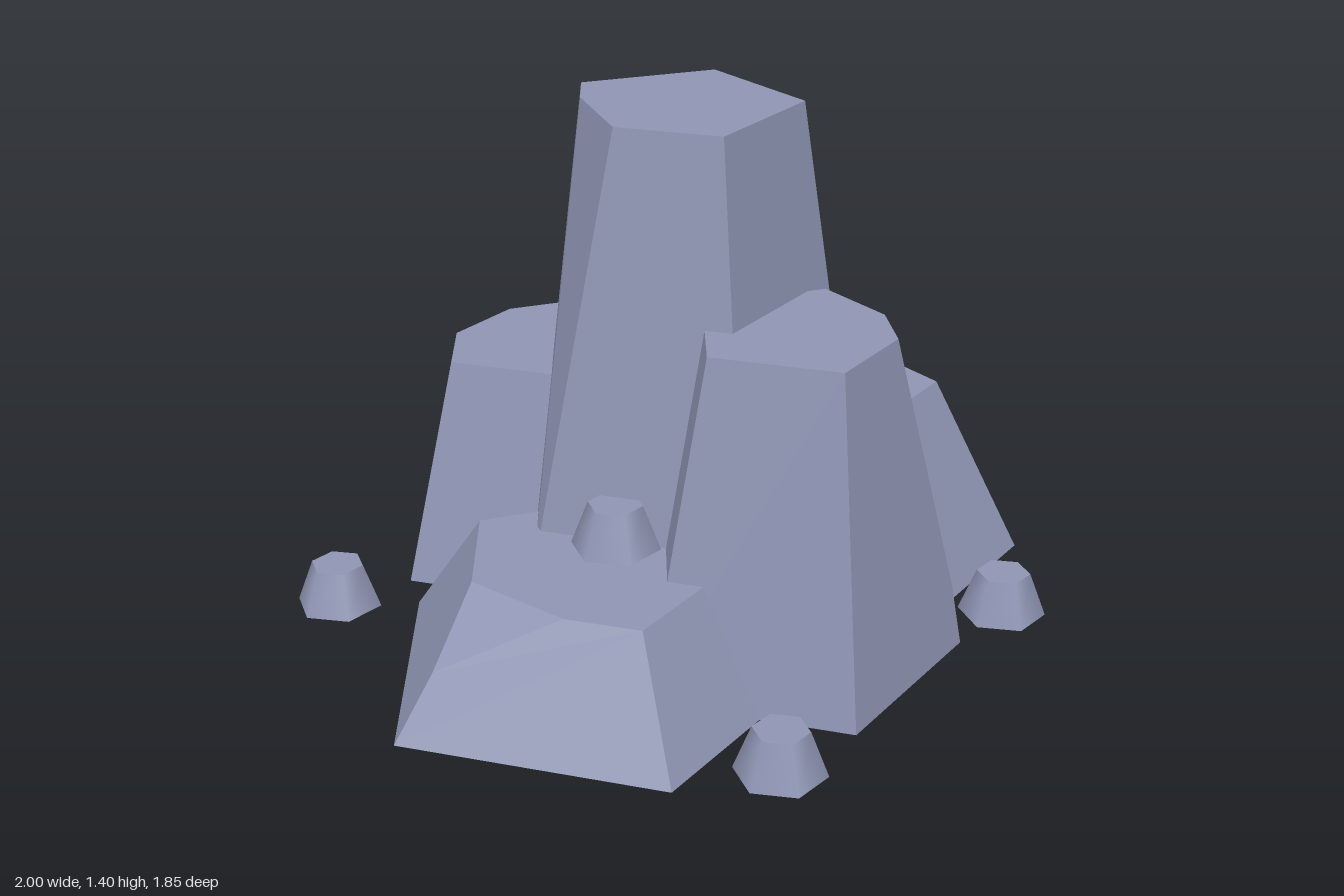
import * as THREE from 'three';
import { ConvexGeometry } from 'three/addons/geometries/ConvexGeometry.js';

const stone = new THREE.MeshStandardMaterial({ color: 0x8f95b4 });
stone.name = 'stone';

// Corner k of a pentagon: 0 front, 1 right (+x), 2 and 3 back, 4 left (-x)
function corner([cx, cz, r], k, y) {
  const a = (k * Math.PI * 2) / 5;
  return new THREE.Vector3(cx + r * Math.sin(a), y, cz + r * Math.cos(a));
}

// Tapered five-sided rock with one top corner chipped off.
// base, top: [x, z, radius]; chip: corner, start up the edge, cut toward the previous and next corners
function rock(name, base, top, height, chip) {
  const points = [];
  for (let k = 0; k < 5; k++) {
    const low = corner(base, k, 0);
    const high = corner(top, k, height);
    points.push(low);
    if (k !== chip.k) {
      points.push(high);
      continue;
    }
    points.push(
      low.clone().lerp(high, chip.up),
      high.clone().lerp(corner(top, k - 1, height), chip.prev),
      high.clone().lerp(corner(top, k + 1, height), chip.next)
    );
  }
  const mesh = new THREE.Mesh(new ConvexGeometry(points), stone);
  mesh.name = name;
  return mesh;
}

export function createModel() {
  const model = new THREE.Group();
  model.name = 'rockCluster';

  // Large rocks
  model.add(
    rock('tallRock', [0.01, -0.13, 0.52], [0.01, -0.125, 0.315], 1.4,
      { k: 4, up: 0.14, prev: 0.63, next: 0.24 }),
    rock('frontRock', [0.17, 0.257, 0.463], [0.175, 0.286, 0.289], 0.915,
      { k: 1, up: 0.19, prev: 0.25, next: 0.33 }),
    rock('lowRock', [-0.34, 0.195, 0.605], [-0.342, 0.22, 0.379], 0.33,
      { k: 4, up: 0.52, prev: 0.26, next: 0.55 }),
    rock('backRock', [-0.258, -0.562, 0.455], [-0.261, -0.545, 0.291], 0.63,
      { k: 3, up: 0.1, prev: 0.43, next: 0.39 }),
    rock('wideRock', [0.344, -0.255, 0.69], [0.3625, -0.25, 0.421], 0.52,
      { k: 2, up: 0.33, prev: 0.49, next: 0.2 })
  );

  // Small six-sided stones, one resting on the low rock
  const pebble = new THREE.CylinderGeometry(0.072, 0.118, 0.12, 6);
  const spots = [[-0.9, 0, -0.37], [0.79, 0, 0.285], [-0.065, 0, 0.805], [-0.27, 0.33, 0.165]];
  for (const [x, y, z] of spots) {
    const mesh = new THREE.Mesh(pebble, stone);
    mesh.name = 'pebble';
    mesh.position.set(x, y + 0.06, z);
    model.add(mesh);
  }
  return model;
}
